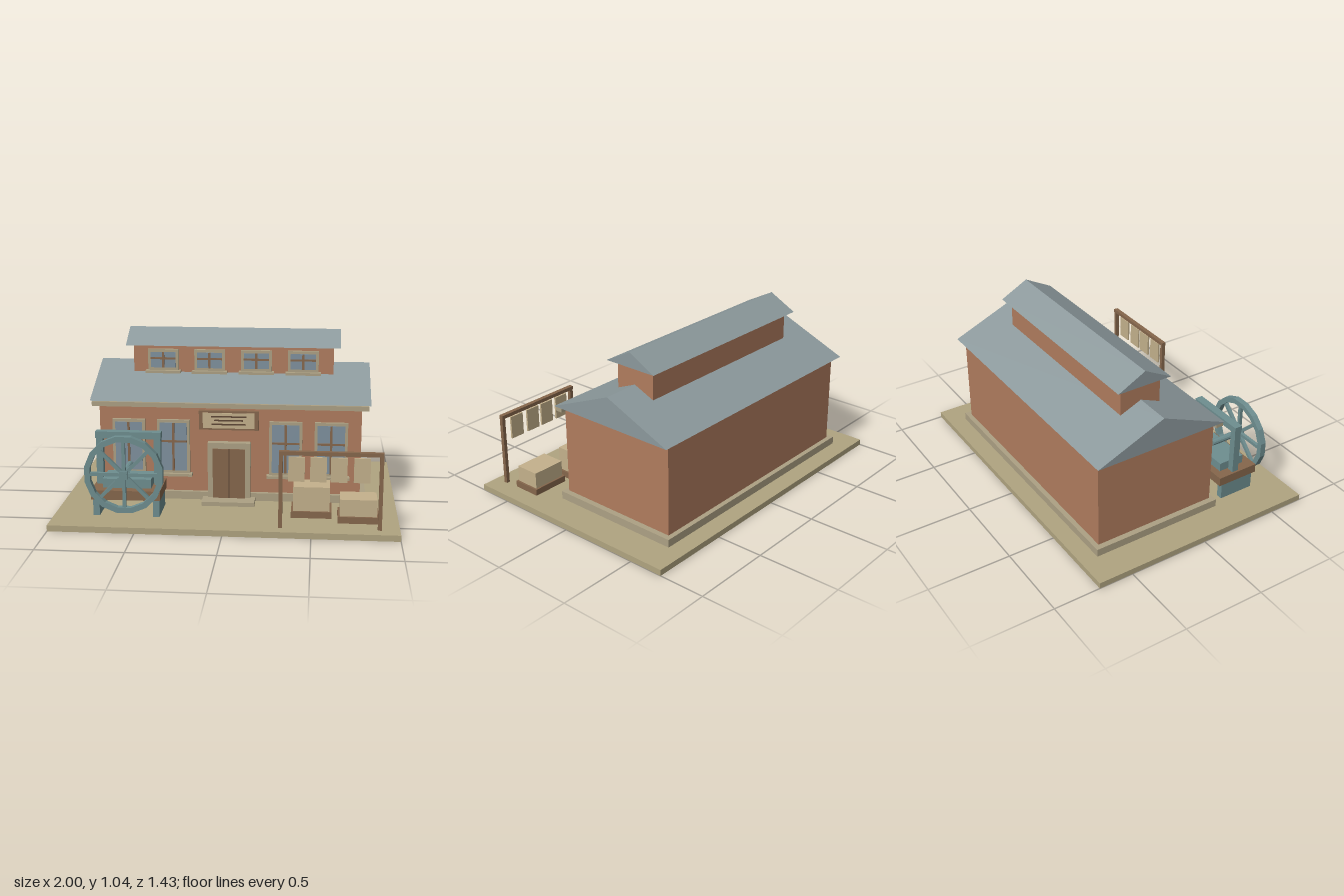
import * as THREE from 'three';

const mat = (color) => new THREE.MeshStandardMaterial({ color, flatShading: true });
const M = {
  ground: mat(0xb0a480), brick: mat(0xb07c5e), roof: mat(0x8c999c), stone: mat(0xada184),
  glass: mat(0x7f919e), wood: mat(0x86674c), darkWood: mat(0x5d4634), metal: mat(0x6e8e90), cloth: mat(0xc4b18c),
};

function add(parent, name, geometry, material) {
  const mesh = new THREE.Mesh(geometry, material);
  mesh.name = name;
  parent.add(mesh);
  return mesh;
}

// Box given by its extents on each axis
function box(parent, name, material, x0, x1, y0, y1, z0, z1) {
  const mesh = add(parent, name, new THREE.BoxGeometry(x1 - x0, y1 - y0, z1 - z0), material);
  mesh.position.set((x0 + x1) / 2, (y0 + y1) / 2, (z0 + z1) / 2);
  return mesh;
}

function group(parent, name) {
  const g = new THREE.Group();
  g.name = name;
  parent.add(g);
  return g;
}

// Closed triangular prism with its ridge along x
function gableRoof(parent, name, halfX, z0, z1, y0, y1) {
  const shape = new THREE.Shape();
  shape.moveTo(-z1, y0);
  shape.lineTo(-z0, y0);
  shape.lineTo(-(z0 + z1) / 2, y1);
  shape.closePath();
  const geo = new THREE.ExtrudeGeometry(shape, { depth: 2 * halfX, bevelEnabled: false });
  geo.translate(0, 0, -halfX).rotateY(Math.PI / 2);
  add(parent, name, geo, M.roof);
}

// Framed window on a wall facing +z, with crossbars and a sill
function makeWindow(parent, name, x, y0, y1, w, z, barY) {
  const g = group(parent, name);
  const h = w / 2, e = 0.017;
  box(g, 'windowFrame', M.stone, x - h, x + h, y0, y1, z, z + 0.021);
  box(g, 'pane', M.glass, x - h + e, x + h - e, y0 + e, y1 - e, z, z + 0.025);
  box(g, 'uprightBar', M.wood, x - 0.007, x + 0.007, y0 + e, y1 - e, z + 0.02, z + 0.031);
  box(g, 'crossBar', M.wood, x - h + e, x + h - e, barY - 0.006, barY + 0.006, z + 0.02, z + 0.031);
  box(g, 'sill', M.stone, x - h - 0.014, x + h + 0.014, y0 - 0.016, y0, z, z + 0.043);
}

function makeBuilding(root) {
  const g = group(root, 'building');
  box(g, 'plinth', M.stone, -0.82, 0.82, 0.047, 0.095, -0.615, 0.215);
  box(g, 'walls', M.brick, -0.785, 0.785, 0.045, 0.645, -0.585, 0.19);
  box(g, 'cornice', M.stone, -0.825, 0.825, 0.62, 0.648, 0.178, 0.225);
  gableRoof(g, 'mainRoof', 0.837, -0.617, 0.225, 0.652, 0.83);

  // Raised clerestory along the ridge
  box(g, 'clerestoryWalls', M.brick, -0.615, 0.615, 0.72, 0.945, -0.33, -0.07);
  gableRoof(g, 'clerestoryRoof', 0.657, -0.372, -0.026, 0.945, 1.036);

  for (const x of [-0.43, -0.144, 0.144, 0.43]) makeWindow(g, 'upperWindow', x, 0.79, 0.92, 0.188, -0.07, 0.865);
  for (const x of [-0.607, -0.337, 0.337, 0.607]) makeWindow(g, 'lowerWindow', x, 0.21, 0.54, 0.197, 0.19, 0.41);

  // Double door with surround and step
  box(g, 'doorSurround', M.stone, -0.128, 0.128, 0.07, 0.41, 0.19, 0.236);
  for (const s of [-1, 1]) {
    box(g, 'doorLeaf', M.wood, Math.min(s * 0.003, s * 0.097), Math.max(s * 0.003, s * 0.097), 0.07, 0.375, 0.22, 0.245);
  }
  box(g, 'doorSeam', M.darkWood, -0.003, 0.003, 0.07, 0.375, 0.22, 0.241);
  box(g, 'doorStep', M.stone, -0.158, 0.158, 0.045, 0.07, 0.19, 0.328);

  // Plain board with three stripes
  const sign = group(g, 'signBoard');
  box(sign, 'board', M.wood, -0.178, 0.178, 0.495, 0.61, 0.222, 0.25);
  box(sign, 'panel', M.cloth, -0.154, 0.154, 0.506, 0.599, 0.24, 0.255);
  [[0.578, 0.105], [0.555, 0.085], [0.531, 0.1]].forEach(([y, h]) =>
    box(sign, 'stripe', M.darkWood, -h, h, y - 0.004, y + 0.004, 0.25, 0.26));
}

function makeMachine(root) {
  const g = group(root, 'flywheelMachine');
  const cx = -0.575, cy = 0.304;
  box(g, 'bed', M.wood, -0.777, -0.373, 0.14, 0.196, 0.273, 0.542);
  box(g, 'body', M.metal, -0.717, -0.433, 0.196, 0.25, 0.317, 0.487);
  for (const s of [-1, 1]) {
    const leg = cx + s * 0.176, post = cx + s * 0.17;
    box(g, 'leg', M.metal, leg - 0.019, leg + 0.019, 0.036, 0.14, 0.295, 0.52);
    box(g, 'post', M.metal, post - 0.02, post + 0.02, 0.196, 0.48, 0.374, 0.416);
  }
  box(g, 'topBeam', M.metal, -0.768, -0.382, 0.475, 0.515, 0.37, 0.419);

  const axle = add(g, 'axle', new THREE.CylinderGeometry(0.02, 0.02, 0.23, 12), M.metal);
  axle.rotation.x = Math.PI / 2;
  axle.position.set(cx, cy, 0.475);

  // Spoked wheel in the xy plane
  const wheel = group(g, 'flywheel');
  wheel.position.set(cx, cy, 0.568);
  const circle = (r, C) => new C(Array.from({ length: 16 }, (_, i) => {
    const a = (i + 0.5) * Math.PI / 8;
    return new THREE.Vector2(r * Math.cos(a), r * Math.sin(a));
  }));
  const rim = circle(0.231, THREE.Shape);
  rim.holes.push(circle(0.198, THREE.Path));
  add(wheel, 'rim', new THREE.ExtrudeGeometry(rim, { depth: 0.036, bevelEnabled: false }).translate(0, 0, -0.018), M.metal);
  for (let i = 0; i < 4; i++) {
    add(wheel, 'spokePair', new THREE.BoxGeometry(0.4, 0.02, 0.02), M.metal).rotation.z = i * Math.PI / 4;
  }
  box(wheel, 'hub', M.metal, -0.025, 0.025, -0.025, 0.025, -0.018, 0.019);
}

function makeYard(root) {
  const g = group(root, 'yardGoods');
  // Pallets carrying paired crates
  for (const [x, z, top] of [[0.498, 0.382, 0.22], [0.768, 0.455, 0.175]]) {
    box(g, 'pallet', M.wood, x - 0.118, x + 0.118, 0.036, 0.075, z - 0.088, z + 0.088);
    for (const s of [0, 1]) {
      box(g, 'crate', M.cloth, x - 0.106 + s * 0.106, x + s * 0.106, 0.075, top, z - 0.076, z + 0.076);
    }
  }
  // Drying rack with hanging sheets
  const rack = group(g, 'dryingRack');
  for (const x of [0.325, 0.885]) box(rack, 'rackPost', M.wood, x - 0.011, x + 0.011, 0.036, 0.47, 0.62, 0.643);
  box(rack, 'rackBeam', M.wood, 0.314, 0.896, 0.464, 0.486, 0.618, 0.645);
  for (const x of [0.413, 0.535, 0.65, 0.778]) box(rack, 'sheet', M.cloth, x - 0.046, x + 0.046, 0.31, 0.452, 0.625, 0.637);
}

export function createModel() {
  const root = new THREE.Group();
  root.name = 'workshop';
  box(root, 'groundSlab', M.ground, -1, 1, 0, 0.036, -0.714, 0.714);
  makeBuilding(root);
  makeMachine(root);
  makeYard(root);
  return root;
}
